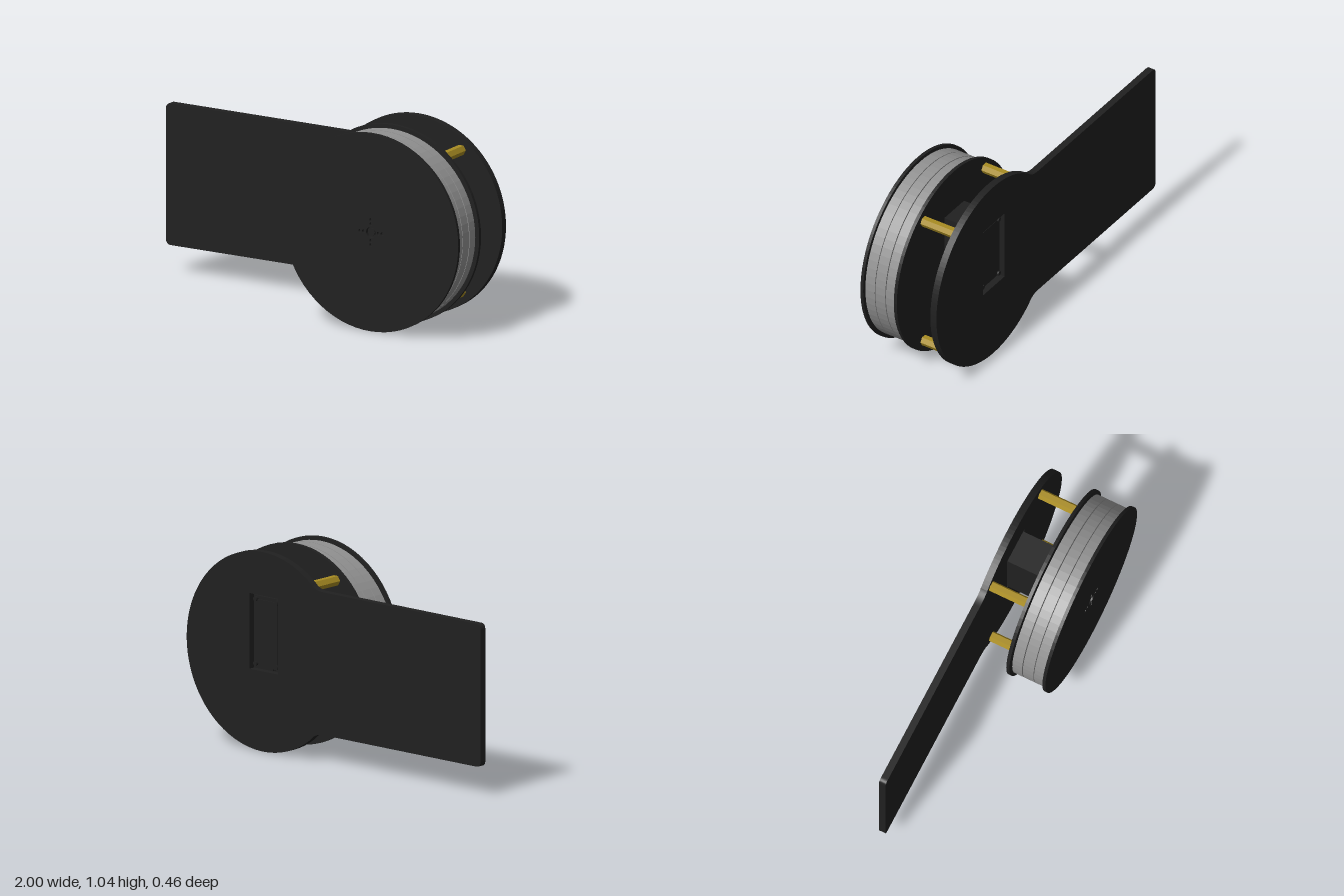
import * as THREE from 'three';

const CX = 0.48, CY = 0.52;      // wheel axis
const SX = 0.476, SY = 0.615;    // motor centre

export function createModel() {
  const model = new THREE.Group();
  const material = (name, color) => {
    const m = new THREE.MeshStandardMaterial({ color });
    m.name = name;
    return m;
  };
  const black = material('black', 0x202020);
  const grey = material('grey', 0x929292);
  const brass = material('brass', 0xa88c22);

  const add = (name, geometry, mat) => {
    const mesh = new THREE.Mesh(geometry, mat);
    mesh.name = name;
    model.add(mesh);
    return mesh;
  };
  const circle = (x, y, r, Type = THREE.Path) => new Type().absarc(x, y, r, 0, Math.PI * 2, false);
  const rect = (x, y, w, h) => new THREE.Path([
    [-1, -1], [1, -1], [1, 1], [-1, 1], [-1, -1],
  ].map(([a, b]) => new THREE.Vector2(x + a * w / 2, y + b * h / 2)));
  // Flat slab between two depths, with optional cutouts
  const slab = (name, shape, z0, z1, mat, holes = [], curveSegments = 36) => {
    shape.holes.push(...holes);
    const g = new THREE.ExtrudeGeometry(shape, { depth: z1 - z0, bevelEnabled: false, curveSegments });
    g.translate(0, 0, z0);
    return add(name, g, mat);
  };
  const disc = (r) => circle(CX, CY, r, THREE.Shape);
  const box = (name, x, y, z0, z1, w, h) =>
    add(name, new THREE.BoxGeometry(w, h, z1 - z0).translate(x, y, (z0 + z1) / 2), black);
  const rod = (name, x, y, z0, z1, r, mat, sides) => add(name,
    new THREE.CylinderGeometry(r, r, z1 - z0, sides).rotateX(Math.PI / 2).translate(x, y, (z0 + z1) / 2), mat);

  // Back plate: a disc blended into a rectangular arm
  const top = 0.895, bottom = 0.15, c = 0.03, a = 2.245;
  const back = new THREE.Shape();
  back.moveTo(-1 + c, bottom);
  back.lineTo(0.07, bottom);
  back.quadraticCurveTo(0.125, bottom, CX + 0.52 * Math.cos(a), CY - 0.52 * Math.sin(a));
  back.absarc(CX, CY, 0.52, -a, a, false);
  back.quadraticCurveTo(0.125, top, 0.07, top);
  back.lineTo(-1 + c, top);
  back.quadraticCurveTo(-1, top, -1, top - c);
  back.lineTo(-1, bottom + c);
  back.quadraticCurveTo(-1, bottom, -1 + c, bottom);
  slab('backPlate', back, -0.232, -0.195, black, [rect(SX, SY, 0.196, 0.395)], 48);

  // Middle and front discs
  slab('middleDisc', disc(0.52), 0.01, 0.028, black, [rect(SX, SY, 0.18, 0.37)]);
  const spokes = [circle(CX, CY, 0.028)];
  for (let i = 0; i < 4; i++) {
    const x = Math.cos(i * Math.PI / 2), y = Math.sin(i * Math.PI / 2);
    spokes.push(circle(CX + x * 0.044, CY + y * 0.044, 0.009), circle(CX + x * 0.066, CY + y * 0.066, 0.009));
  }
  slab('frontDisc', disc(0.52), 0.215, 0.232, black, spokes);

  // Three stacked drum layers, cut out around the motor and horn
  slab('rearDrum', disc(0.5), 0.034, 0.089, grey, [rect(SX, SY, 0.2, 0.52)]);
  slab('middleDrum', disc(0.5), 0.094, 0.154, grey, [rect(SX, SY, 0.2, 0.4)]);
  slab('frontDrum', disc(0.5), 0.158, 0.215, grey, [circle(CX, CY, 0.09)]);

  // Motor body with mounting flange, shaft and horn
  box('motorBody', SX, SY, -0.205, 0.1, 0.18, 0.37);
  box('motorFlange', SX, SY, 0.0281, 0.05, 0.18, 0.5);
  box('cableStub', SX, 0.427, -0.195, -0.173, 0.06, 0.016);
  box('motorBackCover', SX, SY, -0.211, -0.205, 0.15, 0.335);
  rod('shaft', CX, CY, 0.1, 0.19, 0.029, black, 24);
  rod('horn', CX, CY, 0.17, 0.207, 0.088, black, 32);
  rod('hornScrew', CX, CY, 0.207, 0.223, 0.018, black, 16);

  // Mirrored motor screws and hexagonal standoffs
  for (const sx of [-1, 1]) for (const sy of [-1, 1]) {
    rod('motorScrew', SX + sx * 0.072, SY + sy * 0.168, -0.219, -0.205, 0.012, black, 12);
    const standoff = new THREE.CylinderGeometry(0.028, 0.028, 0.205, 6).toNonIndexed();
    standoff.computeVertexNormals();
    standoff.rotateX(Math.PI / 2).rotateZ(Math.PI / 2)
      .translate(0.478 + sx * 0.278, 0.5225 + sy * 0.3725, -0.0925);
    add('standoff', standoff, brass);
  }
  return model;
}
